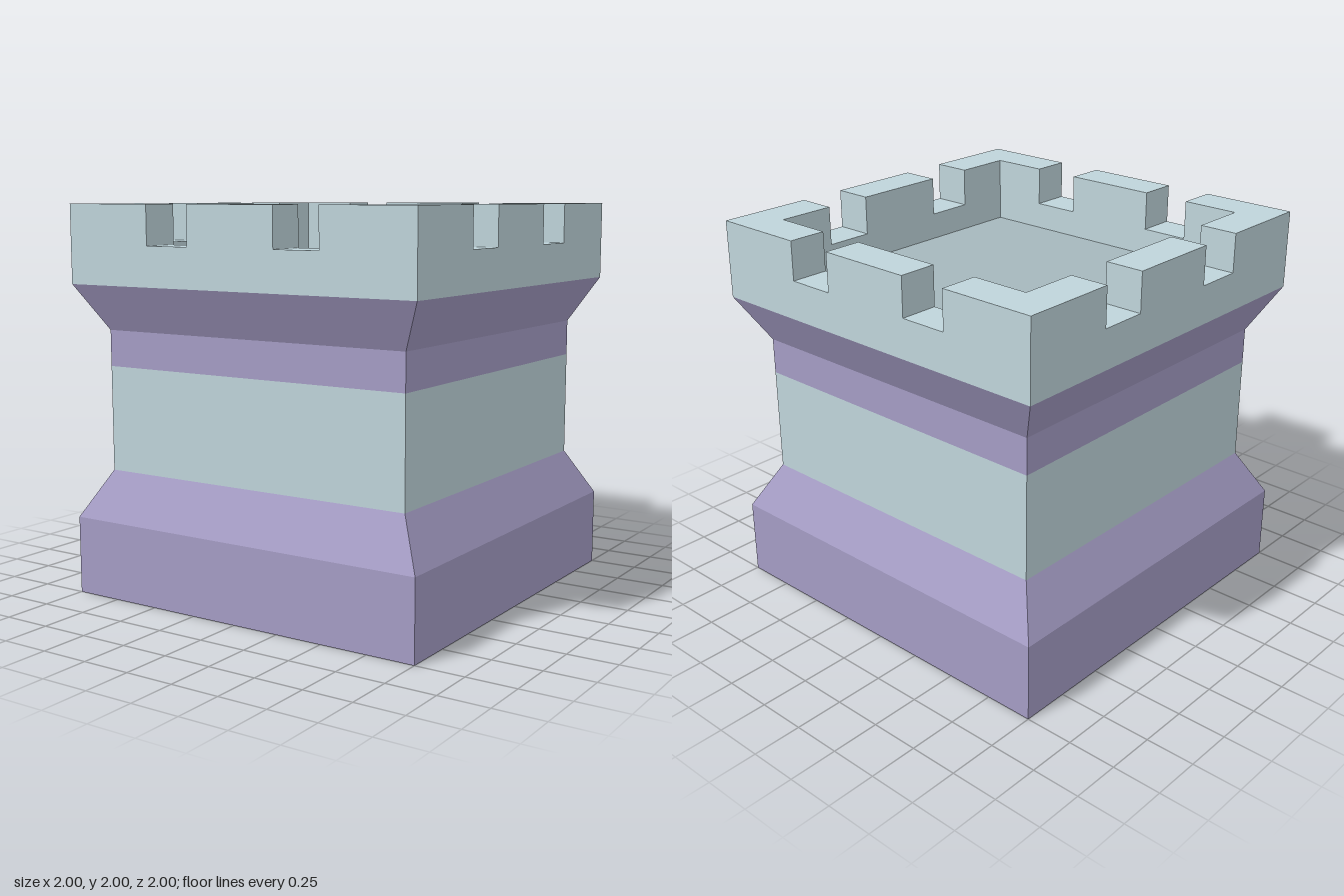
import * as THREE from 'three';

const stone = new THREE.MeshStandardMaterial({ color: 0xbfd4da, flatShading: true });
const trim = new THREE.MeshStandardMaterial({ color: 0xa49cc4, flatShading: true });
const paving = new THREE.MeshStandardMaterial({ color: 0xa5b7bc, flatShading: true });

const OUTER = 1, INNER = 0.8, WAIST = 0.87;

function add(parent, name, geometry, material) {
  const mesh = new THREE.Mesh(geometry, material);
  mesh.name = name;
  parent.add(mesh);
  return mesh;
}

// Four walls of a square tier, from half-width w0 at y0 to w1 at y1
function tier(y0, w0, y1, w1) {
  const g = new THREE.CylinderGeometry(w1 * Math.SQRT2, w0 * Math.SQRT2, y1 - y0, 4, 1, true);
  return g.rotateY(Math.PI / 4).translate(0, (y0 + y1) / 2, 0);
}

function polygon(points) {
  return new THREE.Shape(points.map(([x, y]) => new THREE.Vector2(x, y)));
}

const square = (h) => polygon([[-h, -h], [h, -h], [h, h], [-h, h]]);

// Plan outline raised from y0 to y1
function raise(shape, y0, y1) {
  return new THREE.ExtrudeGeometry(shape, { depth: y1 - y0, bevelEnabled: false })
    .rotateX(-Math.PI / 2).translate(0, y0, 0);
}

export function createModel() {
  const tower = new THREE.Group();
  tower.name = 'castleTower';

  // Body, bottom to top
  add(tower, 'underside', new THREE.PlaneGeometry(2, 2).rotateX(Math.PI / 2), trim);
  add(tower, 'plinth', tier(0, OUTER, 0.4, OUTER), trim);
  add(tower, 'plinthSlope', tier(0.4, OUTER, 0.64, WAIST), trim);
  add(tower, 'shaft', tier(0.64, WAIST, 1.18, WAIST), stone);
  add(tower, 'neckBand', tier(1.18, WAIST, 1.365, WAIST), trim);
  add(tower, 'corbelSlope', tier(1.365, WAIST, 1.6, OUTER), trim);

  // Parapet ring and sunken roof floor
  const ring = square(OUTER);
  ring.holes.push(square(INNER));
  add(tower, 'parapet', raise(ring, 1.6, 1.8), stone);
  add(tower, 'roofFloor', new THREE.PlaneGeometry(2 * INNER, 2 * INNER)
    .rotateX(-Math.PI / 2).translate(0, 1.66, 0), paving);

  // Battlements: an L-shaped corner and a middle block per side
  const corner = raise(polygon([[0.5, INNER], [INNER, INNER], [INNER, 0.5],
    [OUTER, 0.5], [OUTER, OUTER], [0.5, OUTER]]), 1.8, 2);
  const middle = raise(polygon([[INNER, -0.25], [OUTER, -0.25], [OUTER, 0.25], [INNER, 0.25]]), 1.8, 2);
  for (let i = 0; i < 4; i++) {
    const side = new THREE.Group();
    side.name = `battlement${i + 1}`;
    side.rotation.y = i * Math.PI / 2;
    add(side, 'cornerMerlon', corner, stone);
    add(side, 'middleMerlon', middle, stone);
    tower.add(side);
  }
  return tower;
}
